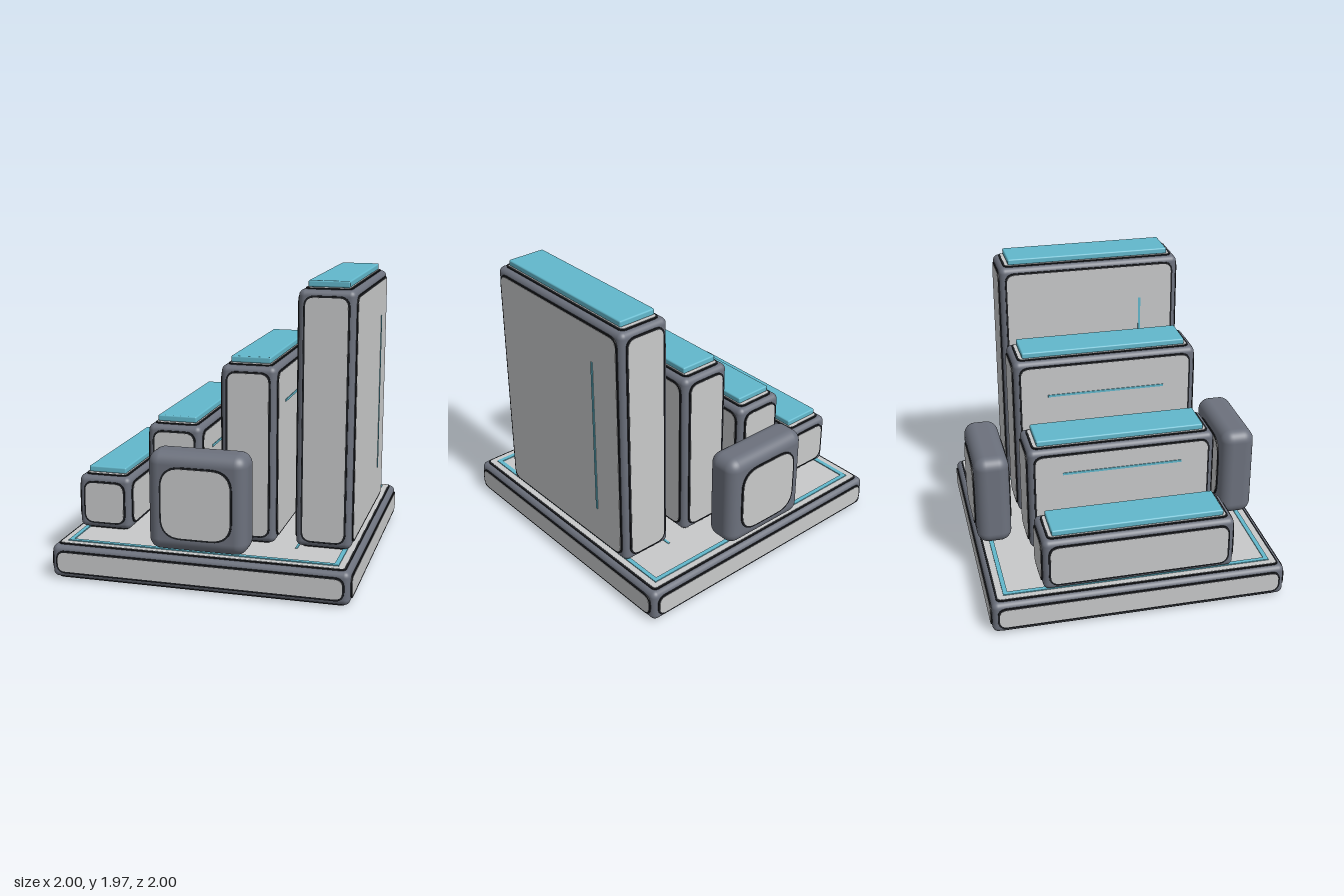
import * as THREE from 'three';
import { RoundedBoxGeometry } from 'three/addons/geometries/RoundedBoxGeometry.js';

const makeMaterial = (name, color) => {
  const m = new THREE.MeshStandardMaterial({ color });
  m.name = name;
  return m;
};

export function createModel() {
  const frameMat = makeMaterial('slate frame', 0x6c717d);
  const panelMat = makeMaterial('light grey panel', 0xc8c9ca);
  const gasketMat = makeMaterial('black gasket', 0x1d1f23);
  const accentMat = makeMaterial('cyan accent', 0x62b8cc);

  function add(parent, name, geometry, material, x = 0, y = 0, z = 0) {
    const mesh = new THREE.Mesh(geometry, material);
    mesh.name = name;
    mesh.position.set(x, y, z);
    parent.add(mesh);
    return mesh;
  }

  // Rounded rectangle plate, from 0.012 below z = 0 to `rise` above it
  function plate(w, h, r, rise) {
    const x = w / 2, y = h / 2, s = new THREE.Shape();
    s.moveTo(-x + r, -y);
    s.lineTo(x - r, -y);
    s.quadraticCurveTo(x, -y, x, -y + r);
    s.lineTo(x, y - r);
    s.quadraticCurveTo(x, y, x - r, y);
    s.lineTo(-x + r, y);
    s.quadraticCurveTo(-x, y, -x, y - r);
    s.lineTo(-x, -y + r);
    s.quadraticCurveTo(-x, -y, -x + r, -y);
    const g = new THREE.ExtrudeGeometry(s, { depth: rise + 0.012, bevelEnabled: false, curveSegments: 8 });
    return g.translate(0, 0, -0.012);
  }

  // Turns that point a plate's +z along each side of a box
  const turns = {
    front: [0, 0], back: [0, Math.PI],
    right: [0, -Math.PI / 2], left: [0, Math.PI / 2],
    top: [-Math.PI / 2, 0], bottom: [Math.PI / 2, 0],
  };

  // Light panel with a black gasket, placed on one side of a box
  function addPanel(parent, side, distance, w, h, r) {
    const g = new THREE.Group();
    g.name = side + 'Panel';
    add(g, 'gasket', plate(w + 0.024, h + 0.024, r + 0.012, 0.007), gasketMat);
    add(g, 'panelFace', plate(w, h, r, 0.009), panelMat);
    g.rotation.set(...turns[side], 0);
    g.position.set(0, 0, distance).applyEuler(g.rotation);
    parent.add(g);
  }

  // Rounded frame with panels on the named sides
  function panelledBox(name, [w, h, d], radius, center, inset, panelRadius, sides) {
    const g = new THREE.Group();
    g.name = name;
    g.position.set(...center);
    add(g, 'frame', new RoundedBoxGeometry(w, h, d, 5, radius), frameMat);
    for (const side of sides) {
      const flat = side === 'top' || side === 'bottom';
      const lateral = side === 'left' || side === 'right';
      const pw = lateral ? d : w, ph = flat ? d : h;
      const distance = (flat ? h : lateral ? w : d) / 2;
      addPanel(g, side, distance, pw - 2 * inset, ph - 2 * inset, flat ? panelRadius / 2 : panelRadius);
    }
    return g;
  }

  const model = new THREE.Group();
  model.name = 'steppedPillarDisplay';
  const upright = ['front', 'back', 'left', 'right'];
  const all = [...upright, 'top', 'bottom'];

  // Base slab
  const base = panelledBox('base', [1.982, 0.22, 1.982], 0.04, [0, 0.12, 0], 0.045, 0.05, all);
  model.add(base);

  // Cyan border and guide line set in the base top
  for (const s of [-1, 1]) {
    add(model, 'borderStripX', new THREE.BoxGeometry(1.81, 0.009, 0.03), accentMat, 0, 0.241, s * 0.89);
    add(model, 'borderStripZ', new THREE.BoxGeometry(0.03, 0.009, 1.75), accentMat, s * 0.89, 0.241, 0);
  }
  add(model, 'guideLine', new THREE.BoxGeometry(0.015, 0.008, 1.32), accentMat, 0.58, 0.24, 0);

  // Four pillars, rising to the left
  const floor = 0.25;
  [0.615, 1.0, 1.42, 1.92].forEach((top, i) => {
    const h = top - floor;
    const pillar = panelledBox('pillar' + (i + 1), [0.364, h, 1.284], 0.04,
      [-0.75 + i * 0.5, floor + h / 2, 0], 0.047, 0.06, all);
    add(pillar, 'cap', new RoundedBoxGeometry(0.265, 0.042, 1.15, 2, 0.01), accentMat, 0, h / 2 + 0.03, 0);

    // Accent lines on both flanks
    for (const s of [-1, 1]) {
      const x = s * 0.191;
      if (i === 3) {
        add(pillar, 'verticalLine', new THREE.BoxGeometry(0.009, 1.095, 0.016), accentMat, x, 0, -s * 0.362);
      } else if (i > 0) {
        const y = [0, 0.82, 1.16][i] - floor - h / 2;
        add(pillar, 'horizontalLine', new THREE.BoxGeometry(0.009, 0.016, 0.82), accentMat, x, y, 0);
      }
    }
    model.add(pillar);
  });

  // Front and back blocks
  for (const [name, s] of [['frontBlock', 1], ['backBlock', -1]]) {
    model.add(panelledBox(name, [0.654, 0.654, 0.238], 0.08, [0, 0.583, s * 0.866],
      0.1, 0.13, ['front', 'back']));
  }
  return model;
}
